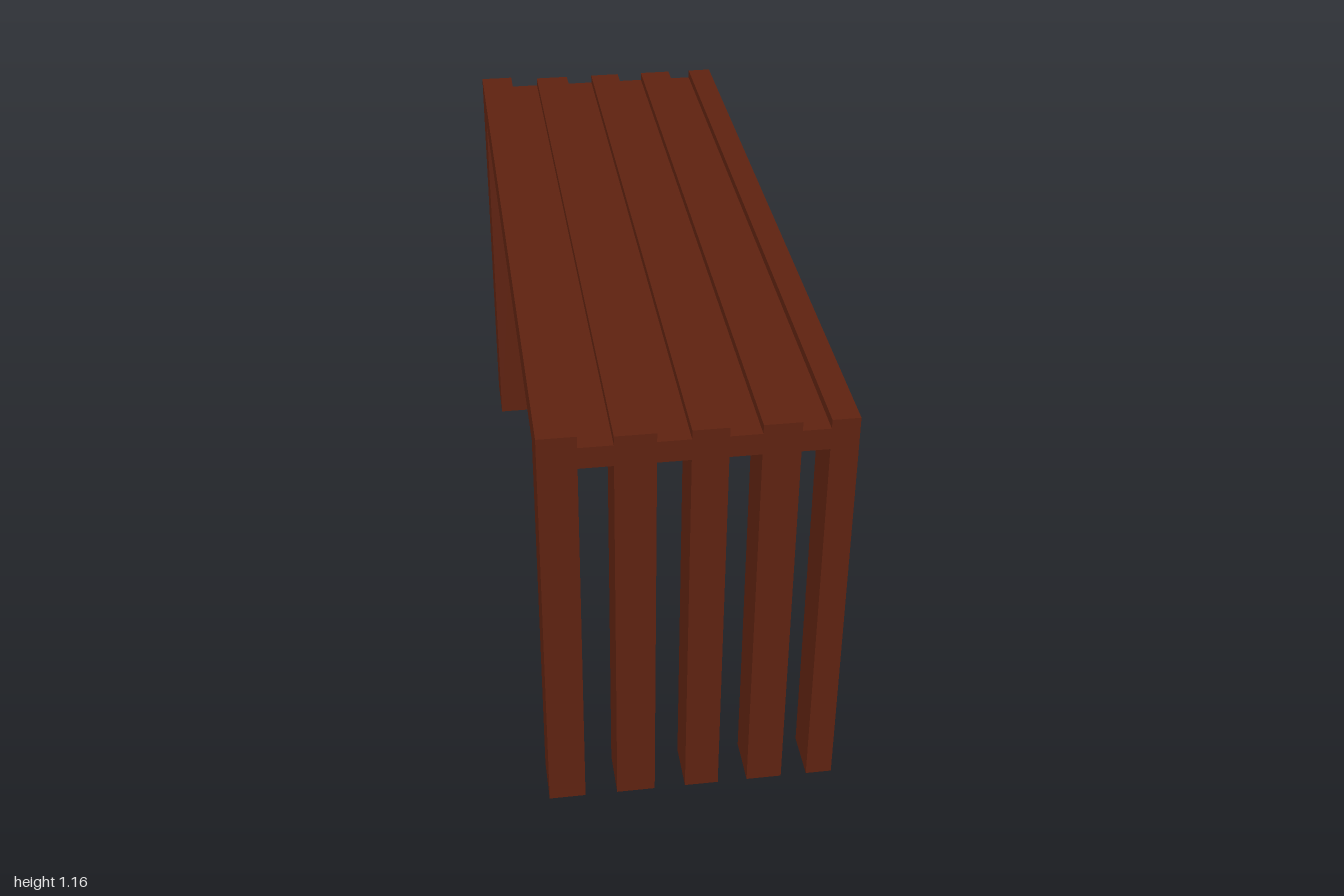
import * as THREE from 'three';

const UNDER = 1.075; // underside of the seat
const DECK = 1.13;   // top of the recessed strips between slats

// Each slat: left edge, right edge, top height, bottom of its back leg
const SLATS = [
  [-0.36, -0.27, 1.16, 0.02],
  [-0.19, -0.095, 1.153, 0.02],
  [-0.018, 0.066, 1.153, 0.02],
  [0.14, 0.228, 1.153, 0.02],
  [0.293, 0.358, 1.153, 0],
];
const FRONT_FOOT = 0.07;

// Bridge-shaped side profile (z, y) extruded across the slat's width
function slatGeometry(x0, x1, top, backFoot) {
  const profile = new THREE.Shape([
    [-1, backFoot], [-0.835, backFoot], [-0.835, UNDER], [0.876, UNDER],
    [0.876, FRONT_FOOT], [1, FRONT_FOOT], [1, top], [-1, top],
  ].map(([z, y]) => new THREE.Vector2(z, y)));
  const geometry = new THREE.ExtrudeGeometry(profile, { depth: x1 - x0, bevelEnabled: false });
  return geometry.rotateY(-Math.PI / 2).translate(x1, 0, 0);
}

export function createModel() {
  const bench = new THREE.Group();
  bench.name = 'slattedBench';
  const wood = new THREE.MeshStandardMaterial({ color: 0x5e2210 });
  wood.name = 'darkRedWood';

  SLATS.forEach(([x0, x1, top, backFoot], i) => {
    // Raised slat with its front and back legs
    const slat = new THREE.Mesh(slatGeometry(x0, x1, top, backFoot), wood);
    slat.name = `slatWithLegs${i + 1}`;
    bench.add(slat);

    // Recessed seat strip filling the gap to the next slat
    if (i < SLATS.length - 1) {
      const next = SLATS[i + 1][0];
      const strip = new THREE.Mesh(new THREE.BoxGeometry(next - x1, DECK - UNDER, 2), wood);
      strip.position.set((x1 + next) / 2, (DECK + UNDER) / 2, 0);
      strip.name = `seatStrip${i + 1}`;
      bench.add(strip);
    }
  });
  return bench;
}
